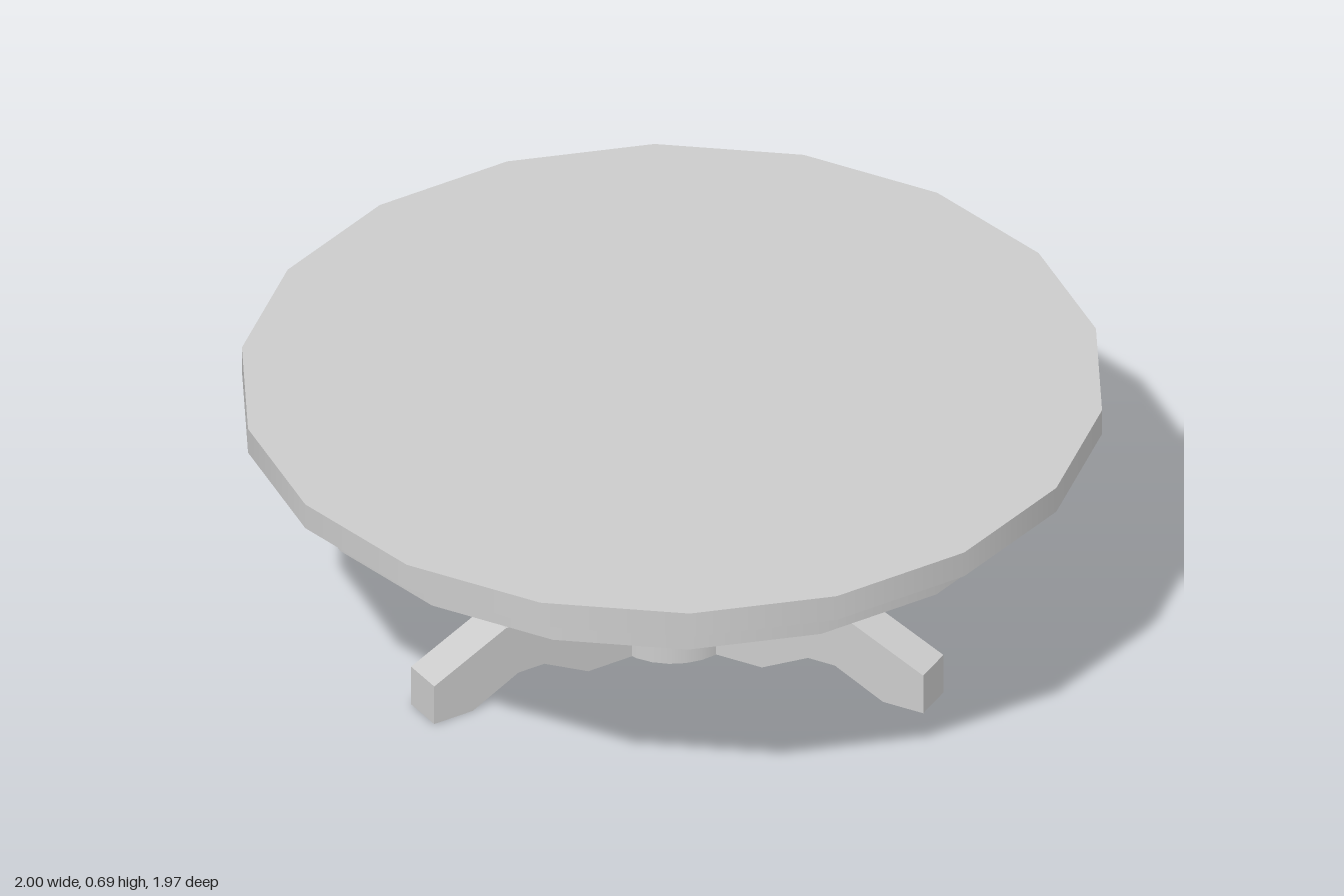
import * as THREE from 'three';

const grey = new THREE.MeshStandardMaterial({ color: 0xcccccc });

function add(parent, name, geometry) {
  const mesh = new THREE.Mesh(geometry, grey);
  mesh.name = name;
  parent.add(mesh);
  return mesh;
}

// Upright disc or drum between two heights
function drum(parent, name, radius, y0, y1, sides) {
  const geometry = new THREE.CylinderGeometry(radius, radius, y1 - y0, sides);
  geometry.rotateY(Math.PI / 2);
  geometry.translate(0, (y0 + y1) / 2, 0);
  return add(parent, name, geometry);
}

export function createModel() {
  const table = new THREE.Group();
  table.name = 'pedestalTable';

  // Eighteen-sided top with a recessed apron below
  drum(table, 'tableTop', 1, 0.62, 0.685, 18);
  drum(table, 'apron', 0.905, 0.525, 0.62, 18);

  // Turned column with a bulb
  const profile = [
    [0.152, 0.18], [0.152, 0.25], [0.182, 0.27], [0.208, 0.305], [0.218, 0.345],
    [0.213, 0.375], [0.195, 0.41], [0.177, 0.435], [0.168, 0.46], [0.168, 0.525],
  ].map(([r, y]) => new THREE.Vector2(r, y));
  add(table, 'column', new THREE.LatheGeometry(profile, 24));

  // Collar ring and hub that carries the legs
  drum(table, 'collar', 0.19, 0.145, 0.19, 24);
  drum(table, 'hub', 0.15, 0, 0.145, 24);

  // Three arched legs, outlined from the hub outwards
  const outline = [
    [0.08, 0], [0.26, 0], [0.38, 0.062], [0.45, 0.062], [0.575, 0], [0.68, 0],
    [0.68, 0.103], [0.485, 0.195], [0.35, 0.195], [0.2, 0.145], [0.08, 0.145],
  ].map(([r, y]) => new THREE.Vector2(r, y));
  const width = 0.1;
  const legGeometry = new THREE.ExtrudeGeometry(new THREE.Shape(outline), { depth: width, bevelEnabled: false });
  legGeometry.translate(0, 0, -width / 2);
  for (let i = 0; i < 3; i++) {
    const leg = add(table, `leg${i + 1}`, legGeometry);
    leg.rotation.y = THREE.MathUtils.degToRad(-100 + i * 120);
  }

  return table;
}
